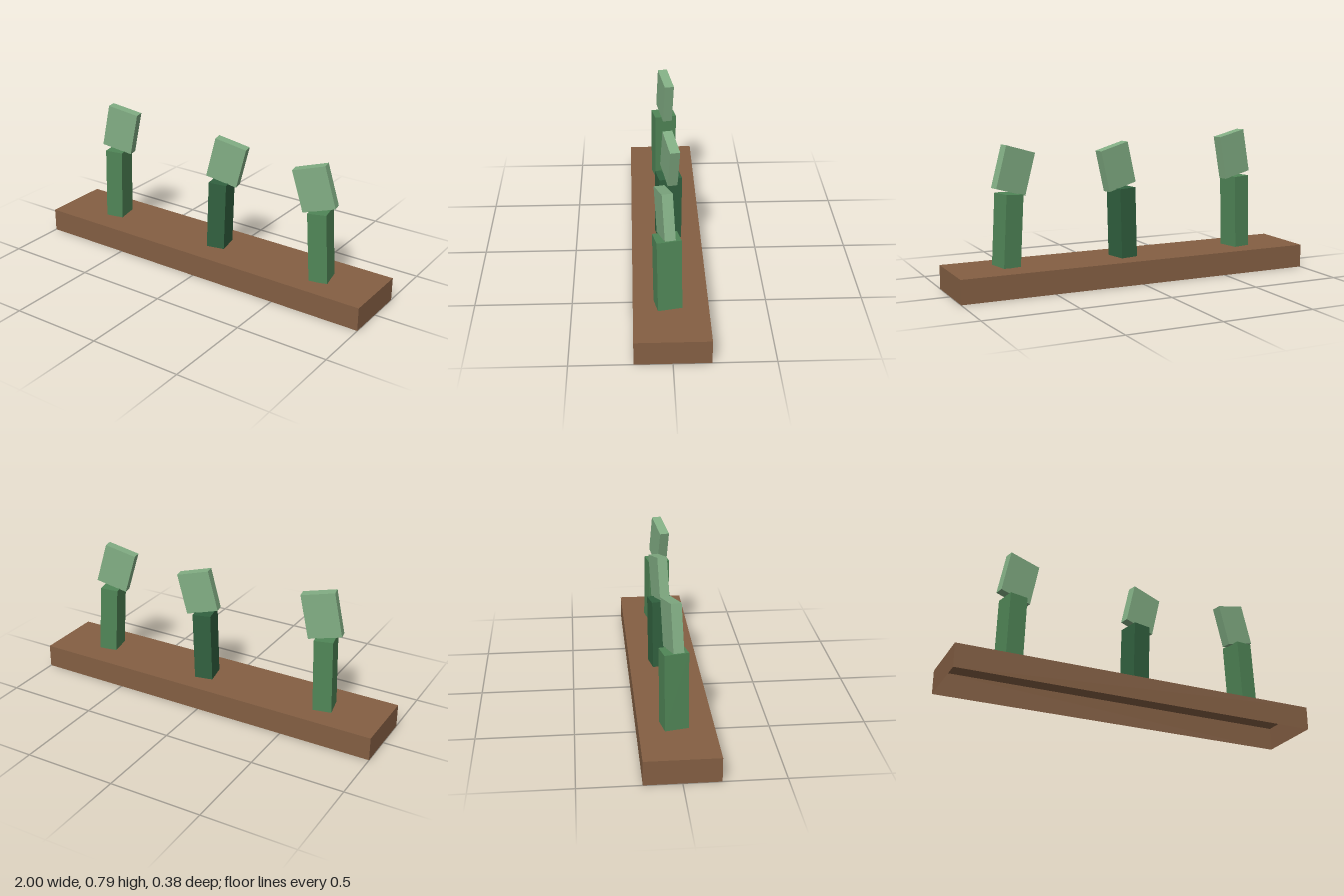
import * as THREE from 'three';

const paint = (name, color) => Object.assign(new THREE.MeshStandardMaterial({ color }), { name });

export function createModel() {
  const model = new THREE.Group();
  model.name = 'planter';

  const soil = paint('soil brown', 0x845f43);
  soil.side = THREE.DoubleSide;
  const midGreen = paint('stem green', 0x508657);
  const darkGreen = paint('dark stem green', 0x31613f);
  const paleGreen = paint('leaf green', 0x82ae84);

  // Trough: a thin box shell with no underside
  const shell = new THREE.BoxGeometry(2, 0.127, 0.375);
  const faces = Array.from(shell.index.array);
  faces.splice(18, 6);
  shell.setIndex(faces);
  shell.clearGroups();
  const trough = new THREE.Mesh(shell, soil);
  trough.name = 'trough';
  trough.position.y = 0.0635;
  model.add(trough);

  // Turned and leaning block
  const block = (name, size, [x, y, z], lean, material) => {
    const mesh = new THREE.Mesh(new THREE.BoxGeometry(...size), material);
    mesh.name = name;
    mesh.position.set(x, y, z);
    mesh.rotation.set(0, 0.2, lean);
    return mesh;
  };

  // Three plants, each a stem with a tilted leaf on top
  const plants = [
    { stem: [-0.663, 0.326, -0.01], tall: 0.402, stemLean: -0.027, green: midGreen,
      leaf: [-0.634, 0.65, -0.017], leafTall: 0.24, leafLean: -0.2 },
    { stem: [0.046, 0.314, -0.012], tall: 0.378, stemLean: -0.03, green: darkGreen,
      leaf: [0.085, 0.617, -0.019], leafTall: 0.226, leafLean: -0.24 },
    { stem: [0.684, 0.315, 0.016], tall: 0.378, stemLean: 0.06, green: midGreen,
      leaf: [0.644, 0.621, 0.028], leafTall: 0.228, leafLean: 0.28 },
  ];
  for (const p of plants) {
    const plant = new THREE.Group();
    plant.name = 'plant';
    plant.add(
      block('stem', [0.1, p.tall, 0.123], p.stem, p.stemLean, p.green),
      block('leaf', [0.178, p.leafTall, 0.053], p.leaf, p.leafLean, paleGreen),
    );
    model.add(plant);
  }
  return model;
}
